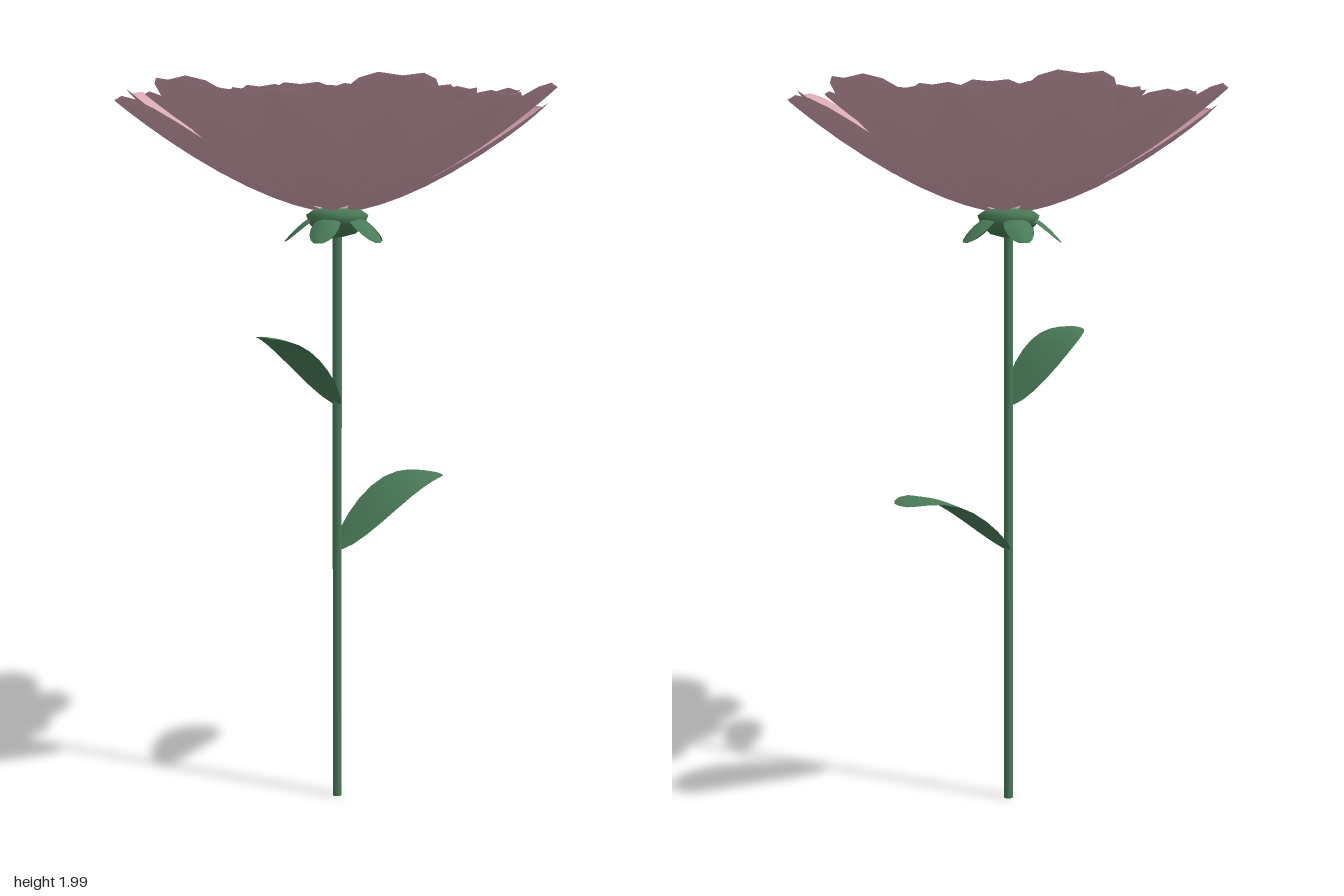
import * as THREE from 'three';

const pink = new THREE.MeshStandardMaterial({ color: 0xd8a7b4, side: THREE.DoubleSide });
pink.name = 'dusty pink';
const green = new THREE.MeshStandardMaterial({ color: 0x4a7c59, side: THREE.DoubleSide });
green.name = 'leaf green';
const ochre = new THREE.MeshStandardMaterial({ color: 0xb8963e });
ochre.name = 'ochre';

// Curved blade growing along +z. path(t) gives [sideways, height, outward];
// a and b shape the base and the tip, cup lifts the long edges.
function blade(path, width, a, b, cup, rows = 12, cols = 8) {
  const pos = [], index = [];
  const peak = a / (a + b);
  const norm = peak ** a * (1 - peak) ** b;
  for (let i = 0; i <= rows; i++) {
    const t = 0.5 * (1 - Math.cos(Math.PI * i / rows));
    const half = width / 2 * t ** a * Math.max(0, 1 - t) ** b / norm;
    const [x, y, z] = path(t);
    for (let j = 0; j <= cols; j++) {
      const u = 2 * j / cols - 1;
      const lift = cup * u * u * (2 * half / width);
      pos.push(x + u * half, y + lift, z);
      if (i < rows && j < cols) {
        const k = i * (cols + 1) + j, n = k + cols + 1;
        index.push(k, n, k + 1, k + 1, n, n + 1);
      }
    }
  }
  const g = new THREE.BufferGeometry();
  g.setAttribute('position', new THREE.Float32BufferAttribute(pos, 3));
  g.setIndex(index);
  g.computeVertexNormals();
  return g;
}

let seed = 7;
const jitter = (s) => {
  seed = (seed * 16807) % 2147483647;
  return (seed / 2147483647 - 0.5) * 2 * s;
};

function add(parent, name, geometry, material) {
  const mesh = new THREE.Mesh(geometry, material);
  mesh.name = name;
  parent.add(mesh);
  return mesh;
}

export function createModel() {
  const model = new THREE.Group();
  model.name = 'flower';
  const plant = new THREE.Group();
  plant.name = 'plant';
  plant.position.set(0.005, 0, 0.006);
  model.add(plant);

  // Stem
  add(plant, 'stem', new THREE.CylinderGeometry(0.013, 0.013, 1.62, 12), green).position.y = 0.81;

  // Calyx cup under the bloom
  const cup = [[0.012, 1.595], [0.05, 1.605], [0.075, 1.63], [0.085, 1.655], [0.06, 1.672], [0, 1.675]];
  add(plant, 'calyx', new THREE.LatheGeometry(cup.map(([x, y]) => new THREE.Vector2(x, y)), 20), green);

  // Five drooping sepals
  const sepal = blade((t) => [0, 1.658 - 0.075 * t ** 1.6, 0.045 + 0.1 * t], 0.08, 0.5, 0.55, -0.014, 8, 6);
  for (let i = 0; i < 5; i++) {
    add(plant, 'sepal', sepal, green).rotation.y = Math.PI + i * Math.PI * 2 / 5;
  }

  // Nested petal rings: count, tip radius, base height, tip height, width, turn, tip bluntness
  const rings = [
    [6, 0.598, 1.665, 1.95, 0.28, Math.PI / 6, 0.42],
    [6, 0.588, 1.675, 1.985, 0.28, 0, 0.42],
    [10, 0.51, 1.71, 1.97, 0.21, 0.2, 0.42],
    [10, 0.46, 1.745, 1.97, 0.20, 0.5, 0.42],
    [12, 0.41, 1.78, 1.97, 0.17, 0.1, 0.42],
    [12, 0.365, 1.81, 1.972, 0.155, 0.37, 0.42],
    [14, 0.325, 1.845, 1.974, 0.13, 0.05, 0.4],
    [16, 0.28, 1.885, 1.976, 0.11, 0.2, 0.35],
    [18, 0.235, 1.93, 1.978, 0.09, 0.09, 0.25],
  ];
  rings.forEach(([count, radius, y0, y1, width, turn, tip], k) => {
    const ring = new THREE.Group();
    ring.name = 'petalRing' + (k + 1);
    plant.add(ring);
    const outer = k < 2;
    const r0 = outer ? 0.035 : 0.01;
    const path = (t) => [0, y0 + (y1 - y0) * t ** 1.5, r0 + (radius - r0) * t];
    const geometry = blade(path, width, 0.85, tip, width * 0.14);
    for (let i = 0; i < count; i++) {
      const petal = add(ring, 'petal', geometry, pink);
      petal.rotation.y = turn + i * Math.PI * 2 / count + jitter(outer ? 0.025 : 0.06);
      const s = outer ? 1 : 1 + jitter(0.035);
      petal.scale.set(s, 1, s);
    }
  });

  // Bloom core and its golden tip
  add(plant, 'core', new THREE.CylinderGeometry(0.016, 0.04, 0.28, 12), pink).position.y = 1.81;
  add(plant, 'centre', new THREE.SphereGeometry(0.021, 14, 10), ochre).position.y = 1.964;

  // Two arching leaves: side, attachment height, reach, rise, arch, swing
  const leaves = [
    ['leftLeaf', 1, 0.725, 0.385, 0.185, 1.9, 0.32],
    ['rightLeaf', -1, 1.135, 0.275, 0.205, 1.6, 0.36],
  ];
  for (const [name, side, y, reach, rise, arch, swing] of leaves) {
    const path = (t) => [0.045 * t ** 2, y + rise * Math.sin(arch * t), reach * t];
    add(plant, name, blade(path, 0.2, 0.55, 0.45, -0.006), green).rotation.y = side * Math.PI / 2 + swing;
  }
  return model;
}
